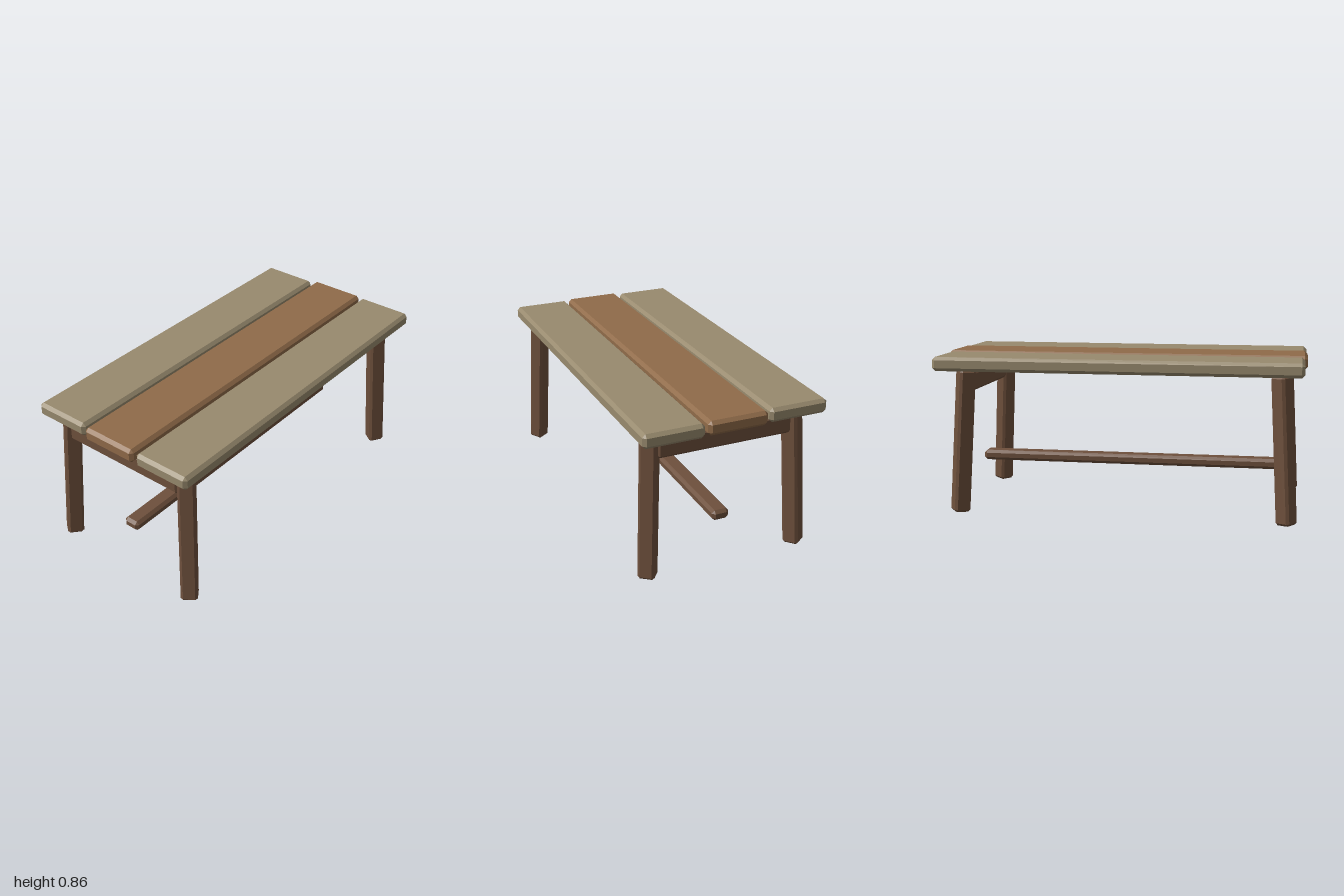
import * as THREE from 'three';
import { ConvexGeometry } from 'three/addons/geometries/ConvexGeometry.js';

const mat = (name, color) => {
  const m = new THREE.MeshStandardMaterial({ color });
  m.name = name;
  return m;
};

// Box with every edge cut to a flat bevel of width c
function bevelBox(w, h, d, c) {
  const points = [];
  for (const x of [-1, 1]) for (const y of [-1, 1]) for (const z of [-1, 1]) {
    for (let axis = 0; axis < 3; axis++) {
      const half = [w / 2, h / 2, d / 2].map((s, i) => (i === axis ? s : s - c));
      points.push(new THREE.Vector3(x * half[0], y * half[1], z * half[2]));
    }
  }
  return new ConvexGeometry(points);
}

export function createModel() {
  const table = new THREE.Group();
  table.name = 'table';
  const paleWood = mat('pale weathered wood', 0x988a6e);
  const warmWood = mat('warm brown wood', 0x906b49);
  const darkWood = mat('dark brown wood', 0x6e503c);

  const add = (parent, name, geometry, material, x, y, z) => {
    const mesh = new THREE.Mesh(geometry, material);
    mesh.name = name;
    mesh.position.set(x, y, z);
    parent.add(mesh);
    return mesh;
  };

  // Three top planks, each cut and laid slightly differently
  add(table, 'frontPlank', bevelBox(1.994, 0.076, 0.32, 0.017), paleWood, 0.002, 0.819, 0.335);
  add(table, 'middlePlank', bevelBox(2, 0.076, 0.32, 0.017), warmWood, 0, 0.824, 0);
  add(table, 'backPlank', bevelBox(1.966, 0.076, 0.32, 0.017), paleWood, -0.002, 0.821, -0.339);

  // Underframe sits a little off centre below the planks
  const frame = new THREE.Group();
  frame.name = 'underframe';
  frame.position.x = -0.022;
  table.add(frame);

  // Splayed legs, each turned to face its outward lean
  const legGeometry = bevelBox(0.089, 0.782, 0.089, 0.013);
  const leanX = 0.043, leanZ = 0.032;
  const lean = Math.atan(Math.hypot(leanX, leanZ) / 0.785);
  for (const sx of [-1, 1]) {
    for (const sz of [-1, 1]) {
      const name = (sz > 0 ? 'front' : 'back') + (sx > 0 ? 'Left' : 'Right') + 'Leg';
      const leg = add(frame, name, legGeometry, darkWood, sx * 0.8665, 0.3925, sz * 0.405);
      leg.rotation.set(-lean, Math.atan2(sx * leanX, sz * leanZ), 0, 'YXZ');
    }
    // Crosspiece joining the legs at each end
    add(frame, sx > 0 ? 'leftCrosspiece' : 'rightCrosspiece',
      bevelBox(0.056, 0.108, 0.736, 0.014), darkWood, sx * 0.866, 0.704, 0);
  }

  // Long low stretcher
  add(frame, 'stretcher', bevelBox(1.73, 0.057, 0.094, 0.016), darkWood, 0, 0.242, 0);

  return table;
}
